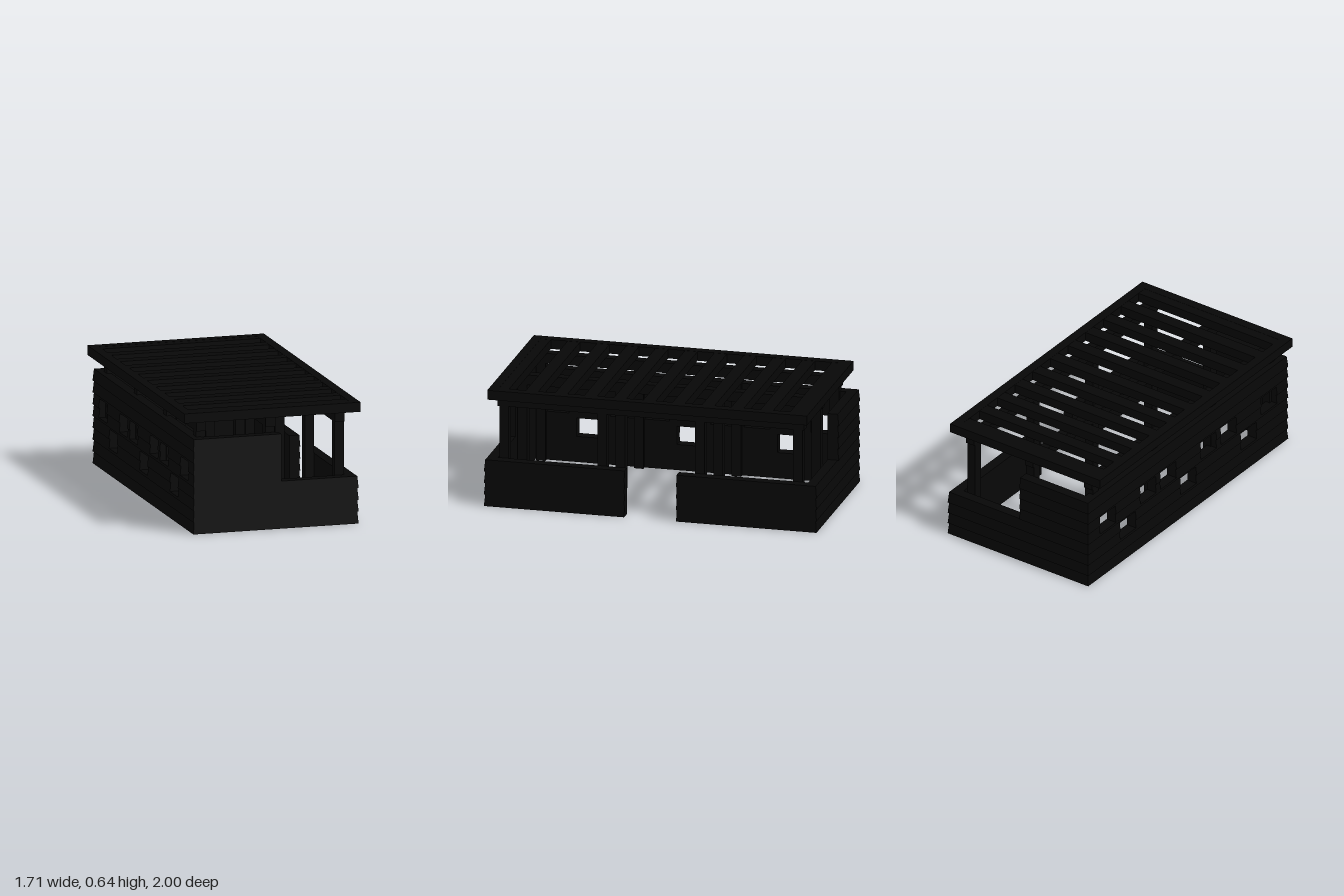
import * as THREE from 'three';
import { mergeGeometries } from 'three/addons/utils/BufferGeometryUtils.js';

const mat = new THREE.MeshStandardMaterial({ color: 0x070707, flatShading: true });
const HALF_W = 0.45, HALF_L = 0.895, LOW = 0.252, HIGH = 0.504;
const BOARD = 0.063, THICK = 0.06, LAP = 0.006;

function box(parent, name, w, h, d, x, y, z) {
  const mesh = new THREE.Mesh(new THREE.BoxGeometry(w, h, d), mat);
  mesh.position.set(x, y + h / 2, z);
  mesh.name = name;
  parent.add(mesh);
}

// Lapped-board wall: runs along x, faces +z, with rectangular holes [x0, x1, y0, y1]
function boardWall(name, half, height, out, holes) {
  const levels = new Set();
  for (let i = 0; i <= Math.round(height / BOARD); i++) levels.add(+(i * BOARD).toFixed(4));
  for (const h of holes) { levels.add(h[2]); levels.add(h[3]); }
  const ys = [...levels].sort((a, b) => a - b);
  const parts = [];
  for (let i = 0; i < ys.length - 1; i++) {
    const y0 = ys[i], y1 = ys[i + 1], mid = (y0 + y1) / 2;
    const base = Math.floor(mid / BOARD) * BOARD;
    // spans left between the holes of this band
    let start = -half;
    const spans = [];
    for (const h of holes.filter((k) => k[2] < mid && k[3] > mid)) {
      if (h[0] > start + 1e-6) spans.push([start, h[0]]);
      start = h[1];
    }
    if (start < half - 1e-6) spans.push([start, half]);
    for (const [x0, x1] of spans) {
      const g = new THREE.BoxGeometry(1, 1, 1);
      const p = g.attributes.position;
      for (let v = 0; v < p.count; v++) {
        const y = p.getY(v) > 0 ? y1 : y0;
        // outer face leans in towards the top of each board, ends are mitred
        const inset = p.getZ(v) > 0 ? (LAP * (y - base)) / BOARD : THICK;
        let x = p.getX(v) > 0 ? x1 : x0;
        if (Math.abs(Math.abs(x) - half) < 1e-6) x -= Math.sign(x) * inset;
        p.setXYZ(v, x, y, out - inset);
      }
      g.computeVertexNormals();
      parts.push(g);
    }
  }
  const mesh = new THREE.Mesh(mergeGeometries(parts), mat);
  mesh.name = name;
  return mesh;
}

export function createModel() {
  const model = new THREE.Group();
  model.name = 'openShelter';
  const shed = new THREE.Group();
  shed.name = 'shelter';
  shed.rotation.y = 0.541;
  model.add(shed);

  // Tall side wall with windows alternating high and low
  const windows = [];
  for (let k = -4; k <= 4; k++) {
    const y = k % 3 === 0 ? 0.14 : 0.265;
    windows.push([k * 0.18 - 0.065, k * 0.18 + 0.075, y, y + 0.1]);
  }
  const tall = boardWall('windowWall', HALF_L, HIGH, HALF_W, windows);
  tall.rotation.y = -Math.PI / 2;
  // Low side wall with the doorway
  const low = boardWall('doorwayWall', HALF_L, LOW, HALF_W, [[-0.14, 0.14, 0, LOW]]);
  low.rotation.y = Math.PI / 2;
  // End walls, half tall and half low
  const front = boardWall('frontEndWall', HALF_W, HIGH, HALF_L, [[0.03, HALF_W, LOW, HIGH]]);
  const back = boardWall('backEndWall', HALF_W, HIGH, HALF_L, [[-HALF_W, 0.01, LOW, HIGH]]);
  back.rotation.y = Math.PI;
  shed.add(tall, low, front, back);

  // Timber frame: three rows of posts, each carrying a long beam
  const frame = new THREE.Group();
  frame.name = 'frame';
  frame.position.set(-0.0125, 0, 0.012);
  shed.add(frame);
  for (const x of [-0.377, 0, 0.377]) {
    for (const z of [-0.79, -0.263, 0.263, 0.79]) box(frame, 'post', 0.05, 0.54, 0.05, x, 0, z);
    box(frame, 'beam', 0.052, 0.055, 1.65, x, 0.535, 0);
  }

  // Open roof: edge boards and cross rafters
  for (const s of [-1, 1]) {
    box(frame, 'sideEdgeBoard', 0.05, 0.051, 1.72, s * 0.455, 0.59, 0);
    box(frame, 'endEdgeBoard', 0.86, 0.051, 0.05, 0, 0.59, s * 0.835);
  }
  for (let i = -5; i <= 5; i++) box(frame, 'rafter', 0.88, 0.05, 0.068, 0, 0.59, i * 0.158);

  return model;
}
